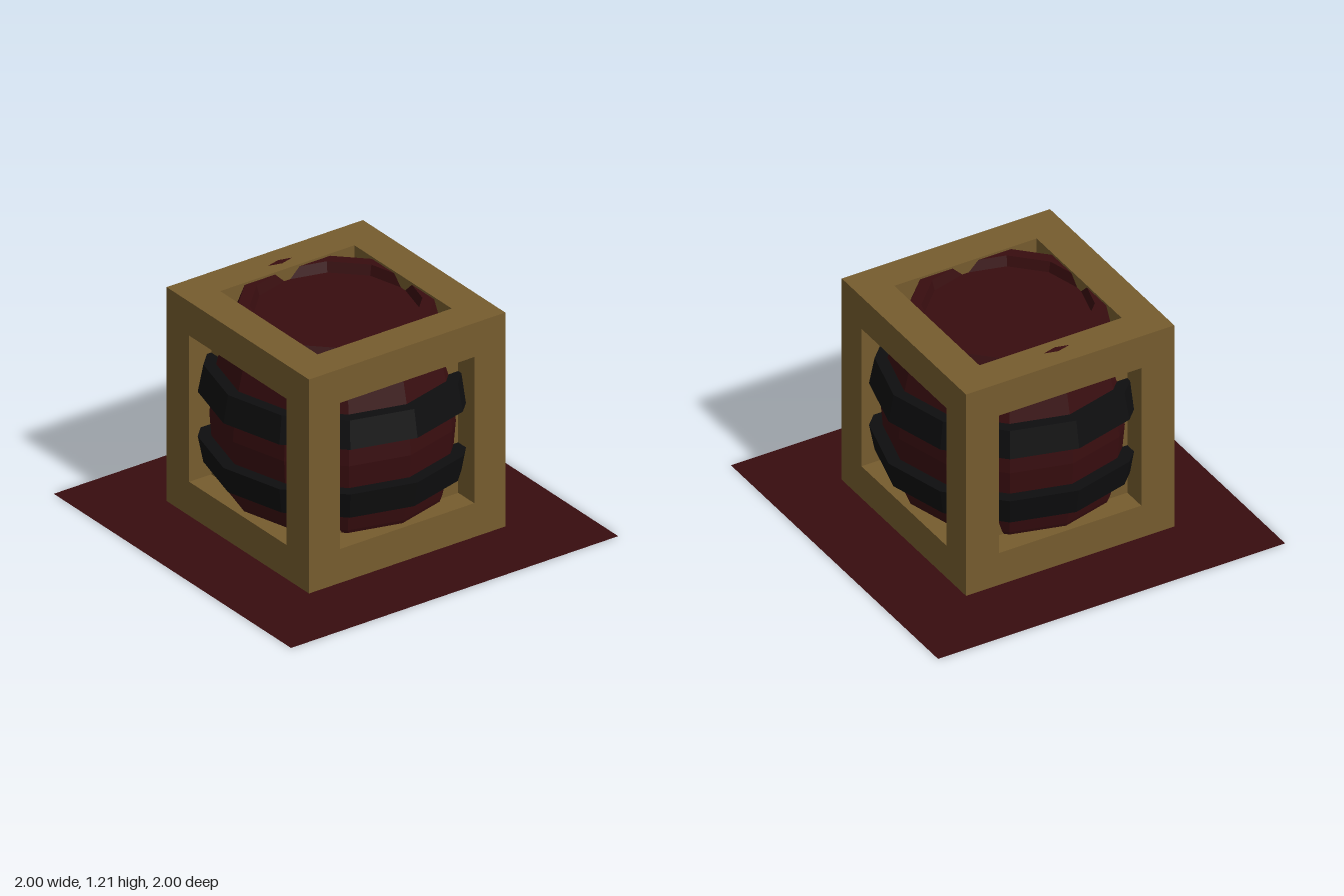
import * as THREE from 'three';

export function createModel() {
  const model = new THREE.Group();
  const material = (name, color, extra = {}) =>
    Object.assign(new THREE.MeshStandardMaterial({ color, flatShading: true, ...extra }), { name });
  const red = material('dark red', 0x380d0f);
  const redSheet = material('dark red', 0x380d0f, { side: THREE.DoubleSide });
  const wood = material('ochre wood', 0x765c2e);
  const iron = material('black iron', 0x0e0e0f);

  const add = (name, geometry, mat, parent = model) => {
    const mesh = new THREE.Mesh(geometry, mat);
    mesh.name = name;
    parent.add(mesh);
    return mesh;
  };
  const lathe = (points) =>
    new THREE.LatheGeometry(points.map(([r, y]) => new THREE.Vector2(r, y)), 12);

  // Square ground sheet
  add('groundSheet', new THREE.PlaneGeometry(2, 2).rotateX(-Math.PI / 2), redSheet);

  // Crate: twelve thick bars around a box whose faces form the recessed panels
  const crate = new THREE.Group();
  crate.name = 'crate';
  crate.position.y = 0.607;
  model.add(crate);
  const half = 0.6, bar = 0.19, mid = half - bar / 2, inner = 2 * (half - bar);
  add('recessedPanels', new THREE.BoxGeometry(0.93, 0.93, 0.93), wood, crate);
  for (const a of [-mid, mid]) {
    for (const b of [-mid, mid]) {
      add('cornerPost', new THREE.BoxGeometry(bar, 2 * half, bar), wood, crate).position.set(a, 0, b);
      add('crossRail', new THREE.BoxGeometry(inner, bar, bar), wood, crate).position.set(0, a, b);
      add('sideRail', new THREE.BoxGeometry(bar, bar, inner), wood, crate).position.set(a, b, 0);
    }
  }

  // Twelve-sided barrel bulging through the panels, with a raised rim and sunken lid
  const profile = [[0, 0.02]];
  for (let i = 0; i <= 6; i++) {
    const y = 0.02 + (i / 6) * 1.175;
    profile.push([0.63 - 0.4 * (y - 0.607) ** 2, y]);
  }
  profile.push([0.43, 1.195], [0.415, 1.14], [0, 1.14]);
  add('barrel', lathe(profile), red);

  // Rim corner showing through the rear top rail
  const chip = add('rimCorner', new THREE.CylinderGeometry(1, 1, 0.006, 4), red);
  chip.scale.set(0.07, 1, 0.018);
  chip.position.set(0.01, 1.206, -0.485);

  // Two hoops that follow the bulge
  const hoops = [
    ['lowerHoop', 0.335, 0.48, 0.66, 0.688],
    ['upperHoop', 0.73, 0.88, 0.688, 0.66],
  ];
  for (const [name, y0, y1, r0, r1] of hoops) {
    add(name, lathe([[0.58, y0], [r0, y0], [r1, y1], [0.58, y1]]), iron);
  }

  return model;
}
